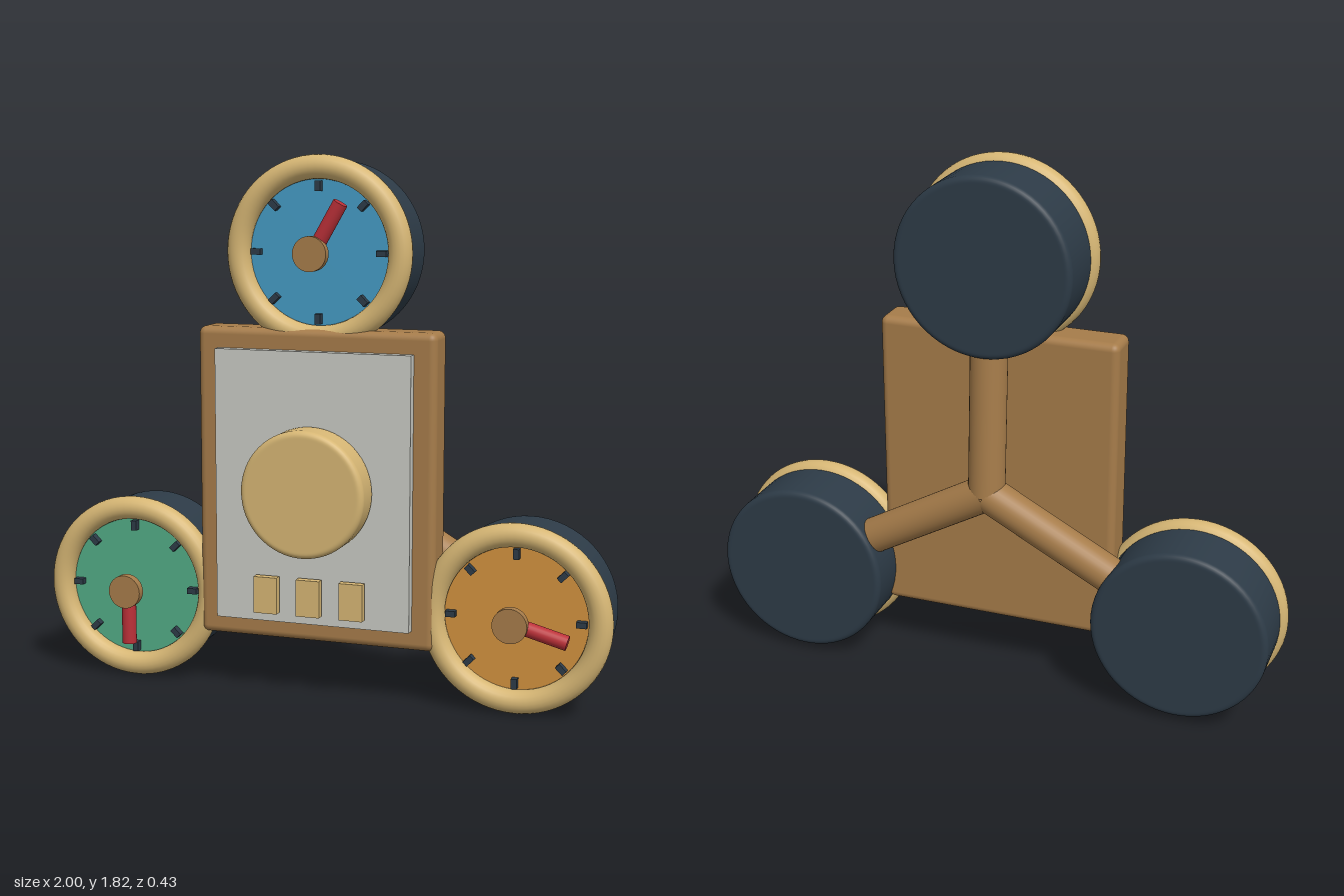
import * as THREE from 'three';
import { RoundedBoxGeometry } from 'three/addons/geometries/RoundedBoxGeometry.js';

const flat = (name, color) => {
  const m = new THREE.MeshStandardMaterial({ color });
  m.name = name;
  return m;
};

const mats = {
  brown: flat('brown wood', 0xa67c4a),
  tan: flat('pale brass', 0xd6b674),
  grey: flat('light grey', 0xc9cac3),
  navy: flat('dark slate', 0x2d3b47),
  blue: flat('blue', 0x459bc4),
  green: flat('green', 0x52ab86),
  orange: flat('orange', 0xd3923f),
  red: flat('red', 0xbb3038),
};

function add(parent, name, geometry, material, x = 0, y = 0, z = 0) {
  const mesh = new THREE.Mesh(geometry, material);
  mesh.name = name;
  mesh.position.set(x, y, z);
  parent.add(mesh);
  return mesh;
}

// Round-edged disc facing +z, running from z0 to z1
function softDisc(r, z0, z1, e) {
  const pts = [new THREE.Vector2(0, z0), new THREE.Vector2(r - e - 0.005, z0)];
  const steps = 6;
  for (let i = 0; i <= steps; i++) {
    const a = (i / steps) * Math.PI / 2;
    pts.push(new THREE.Vector2(r - e + e * Math.sin(a), z0 + e - e * Math.cos(a)));
  }
  for (let i = 0; i <= steps; i++) {
    const a = (i / steps) * Math.PI / 2;
    pts.push(new THREE.Vector2(r - e + e * Math.cos(a), z1 - e + e * Math.sin(a)));
  }
  pts.push(new THREE.Vector2(r - e - 0.005, z1), new THREE.Vector2(0, z1));
  return new THREE.LatheGeometry(pts, 64).rotateX(Math.PI / 2);
}

// Plain disc facing +z, running from z0 to z1
function disc(r, z0, z1, segments = 48) {
  return new THREE.CylinderGeometry(r, r, z1 - z0, segments)
    .rotateX(Math.PI / 2).translate(0, 0, (z0 + z1) / 2);
}

// Dial with drum, rim, face, ticks, hand and hub; the hand angle runs clockwise from 12
function makeGauge(name, x, y, faceMaterial, handDegrees) {
  const gauge = new THREE.Group();
  gauge.name = name;
  gauge.position.set(x, y, 0);
  add(gauge, 'drum', softDisc(0.3, -0.205, 0.01, 0.02), mats.navy);
  add(gauge, 'rim', new THREE.TorusGeometry(0.28, 0.04, 20, 72), mats.tan, 0, 0, 0.03);
  add(gauge, 'face', disc(0.25, 0, 0.02, 64), faceMaterial);
  for (let i = 0; i < 8; i++) {
    const a = i * Math.PI / 4;
    const tick = add(gauge, 'tick', new THREE.BoxGeometry(0.034, 0.02, 0.03), mats.navy,
      0.218 * Math.cos(a), 0.218 * Math.sin(a), 0.03);
    tick.rotation.z = a;
  }
  const hand = add(gauge, 'hand',
    new THREE.CylinderGeometry(0.025, 0.025, 0.19, 24).translate(0, 0.095, 0), mats.red, 0, 0, 0.092);
  hand.rotation.z = -THREE.MathUtils.degToRad(handDegrees);
  add(gauge, 'hub', disc(0.058, 0.1, 0.13, 32), mats.brown);
  return gauge;
}

// Round bar between two points
function bar(parent, name, from, to, r, material) {
  const dir = to.clone().sub(from);
  const mesh = add(parent, name, new THREE.CylinderGeometry(r, r, dir.length(), 32), material);
  mesh.position.copy(from).addScaledVector(dir, 0.5);
  mesh.quaternion.setFromUnitVectors(new THREE.Vector3(0, 1, 0), dir.normalize());
}

export function createModel() {
  const model = new THREE.Group();
  model.name = 'gaugePanel';

  // Case and front plate
  add(model, 'case', new RoundedBoxGeometry(0.83, 1.06, 0.135, 4, 0.025), mats.brown, 0, 0.72, 0.008);
  add(model, 'frontPlate', new THREE.BoxGeometry(0.68, 0.92, 0.05), mats.grey, 0, 0.72, 0.085);

  // Large knob and row of buttons
  add(model, 'knob', softDisc(0.213, 0.1, 0.218, 0.02), mats.tan, 0, 0.72, 0);
  for (const x of [-0.15, 0, 0.15]) {
    add(model, 'button', new THREE.BoxGeometry(0.082, 0.125, 0.028), mats.tan, x, 0.358, 0.136);
  }

  // Three gauges, each held by a rear strut
  const gauges = [
    ['topGauge', 0, 1.5, mats.blue, 30],
    ['rightGauge', -0.68, 0.32, mats.green, 180],
    ['leftGauge', 0.68, 0.32, mats.orange, 105],
  ];
  const centre = new THREE.Vector3(0, 0.71, -0.152);
  for (const [name, x, y, face, angle] of gauges) {
    model.add(makeGauge(name, x, y, face, angle));
    bar(model, 'strut', centre, new THREE.Vector3(x, y, -0.11), 0.062, mats.brown);
  }
  return model;
}
